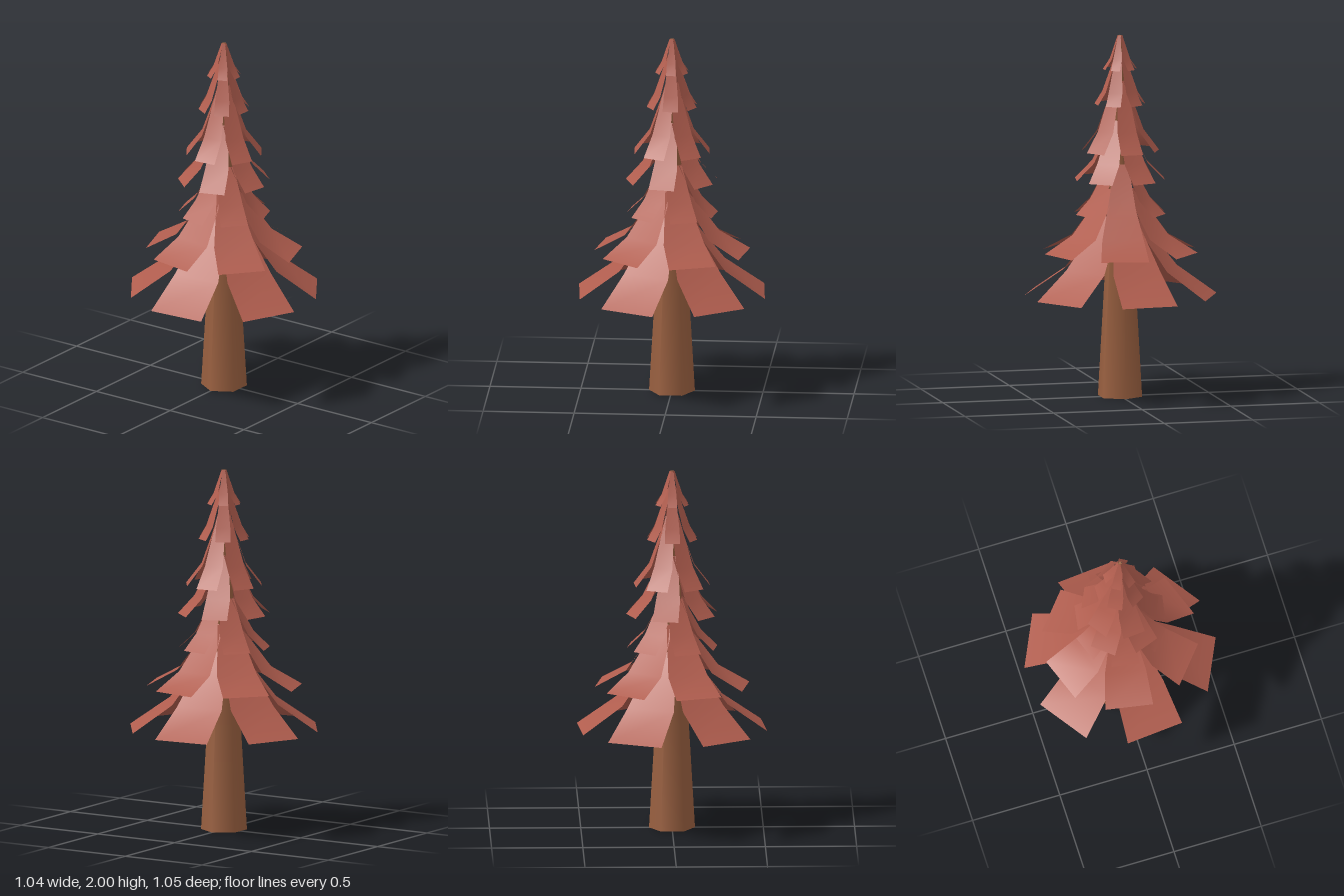
import * as THREE from 'three';

// A bent branch sheet: rows of [radius, height, halfWidth] from root to tip, along +x
function branchGeometry(rows) {
  const pos = [], index = [];
  rows.forEach(([r, y, w], i) => {
    pos.push(r, y, w, r, y, -w);
    if (i > 0) {
      const a = 2 * (i - 1);
      index.push(a, a + 2, a + 1, a + 1, a + 2, a + 3);
    }
  });
  const g = new THREE.BufferGeometry();
  g.setAttribute('position', new THREE.Float32BufferAttribute(pos, 3));
  g.setIndex(index);
  g.computeVertexNormals();
  return g;
}

export function createModel() {
  const tree = new THREE.Group();
  tree.name = 'pineTree';
  const bark = new THREE.MeshStandardMaterial({ color: 0x9a6040 });
  const foliage = new THREE.MeshStandardMaterial({ color: 0xb05d4e, side: THREE.DoubleSide });

  // Tapered six-sided trunk with corners on the x axis
  const trunk = new THREE.Mesh(
    new THREE.CylinderGeometry(0.01, 0.126, 2, 6, 1, false, Math.PI / 2), bark);
  trunk.position.y = 1;
  trunk.name = 'trunk';
  tree.add(trunk);

  // Branch tiers, bottom to top: turn in degrees (from +x toward +z) and root, knee, tip rows
  const tiers = [
    { turn: -5, rows: [[0.075, 1.0, 0.065], [0.29, 0.715, 0.138], [0.507, 0.563, 0.16]] },
    { turn: 10, rows: [[0.06, 1.15, 0.055], [0.238, 0.897, 0.114], [0.408, 0.803, 0.132]] },
    { turn: 10, rows: [[0.05, 1.29, 0.042], [0.15, 1.1, 0.069], [0.24, 1.014, 0.077]] },
    { turn: -20, rows: [[0.035, 1.53, 0.038], [0.148, 1.3, 0.067], [0.242, 1.203, 0.072]] },
    { turn: -5, rows: [[0.025, 1.75, 0.026], [0.12, 1.475, 0.055], [0.205, 1.363, 0.063]] },
    { turn: 30, rows: [[0.016, 1.91, 0.016], [0.09, 1.69, 0.039], [0.134, 1.62, 0.042]] },
    { turn: 30, rows: [[0.011, 2.0, 0.008], [0.052, 1.87, 0.024], [0.09, 1.813, 0.026]] },
  ];
  tiers.forEach(({ turn, rows }, t) => {
    const tier = new THREE.Group();
    tier.name = `branchTier${t + 1}`;
    const geometry = branchGeometry(rows);
    for (let i = 0; i < 6; i++) {
      const branch = new THREE.Mesh(geometry, foliage);
      branch.name = `branch${i + 1}`;
      branch.rotation.y = -THREE.MathUtils.degToRad(turn + i * 60);
      tier.add(branch);
    }
    tree.add(tier);
  });
  return tree;
}
